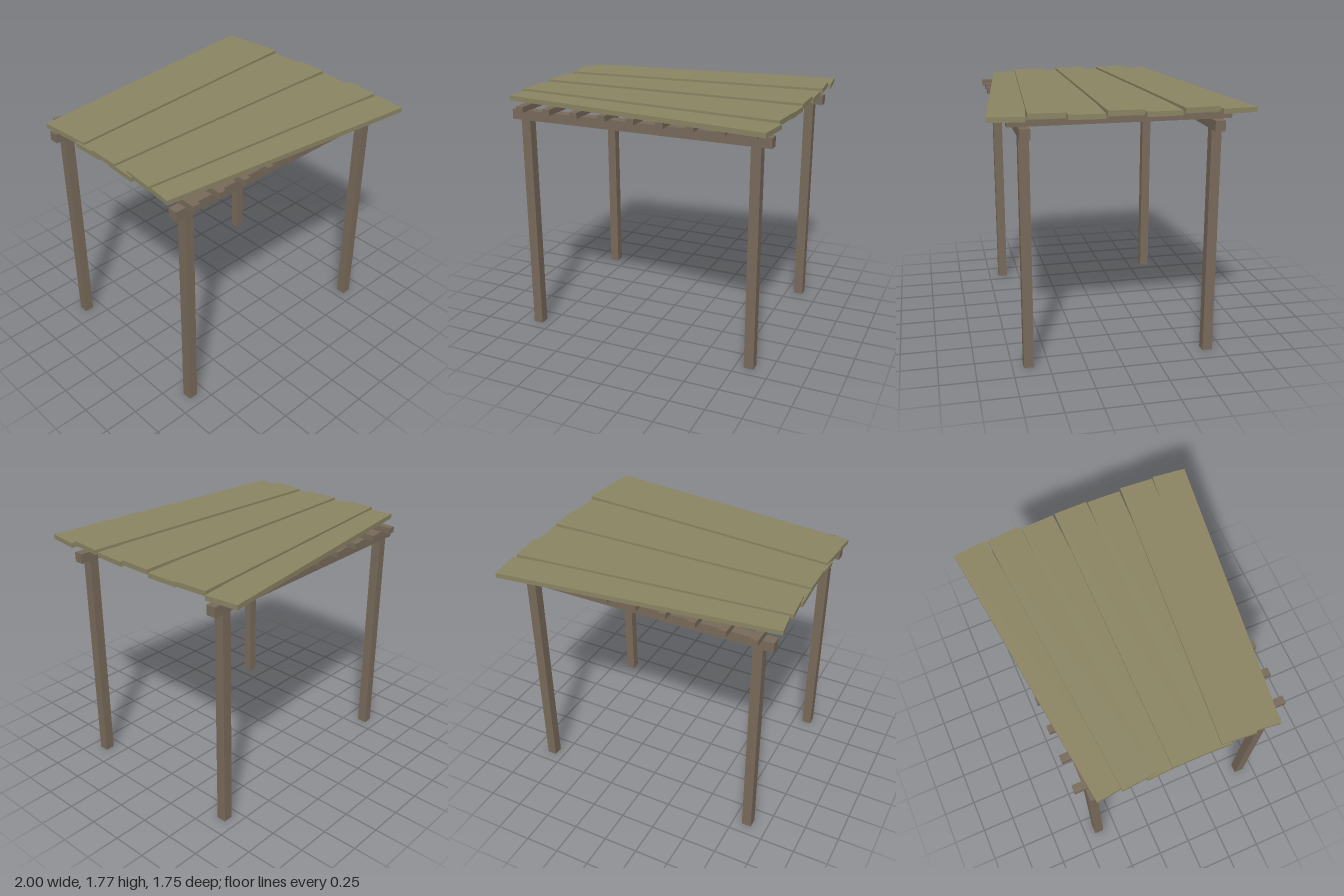
import * as THREE from 'three';

export function createModel() {
  const model = new THREE.Group();
  model.name = 'pergola';

  const wood = new THREE.MeshStandardMaterial({ color: 0x776a5a });
  wood.name = 'brown timber';
  const plank = new THREE.MeshStandardMaterial({ color: 0x8a8462 });
  plank.name = 'olive planks';

  const addBox = (name, material, [w, h, d], [x, y, z]) => {
    const mesh = new THREE.Mesh(new THREE.BoxGeometry(w, h, d), material);
    mesh.name = name;
    mesh.position.set(x, y, z);
    model.add(mesh);
    return mesh;
  };

  const frameX = -0.003; // frame sits a touch off the roof's centre
  const beamBottom = 1.6;
  const beamHeight = 0.07;

  // Four posts carrying a front and a back beam
  for (const [zSide, end] of [[1, 'front'], [-1, 'back']]) {
    const z = zSide * 0.638;
    for (const [xSide, side] of [[1, 'Left'], [-1, 'Right']]) {
      addBox(`${end}${side}Post`, wood, [0.07, beamBottom, 0.07],
        [frameX + xSide * 0.851, beamBottom / 2, z]);
    }
    addBox(`${end}Beam`, wood, [1.912, beamHeight, 0.07],
      [frameX, beamBottom + beamHeight / 2, z]);
  }

  // Nine rafters across the beams
  for (let i = -4; i <= 4; i++) {
    addBox(`rafter${i + 5}`, wood, [0.054, 0.042, 1.488], [frameX + i * 0.2128, 1.691, 0]);
  }

  // Seven roof boards, fanned out towards +x and alternating in height
  for (let i = -3; i <= 3; i++) {
    const y = i % 2 === 0 ? 1.756 : 1.74;
    const board = addBox(`roofBoard${i + 4}`, plank, [1.985, 0.034, 0.24], [0, y, i * 0.213]);
    board.rotation.y = THREE.MathUtils.degToRad(-2.27 * i);
  }

  return model;
}
